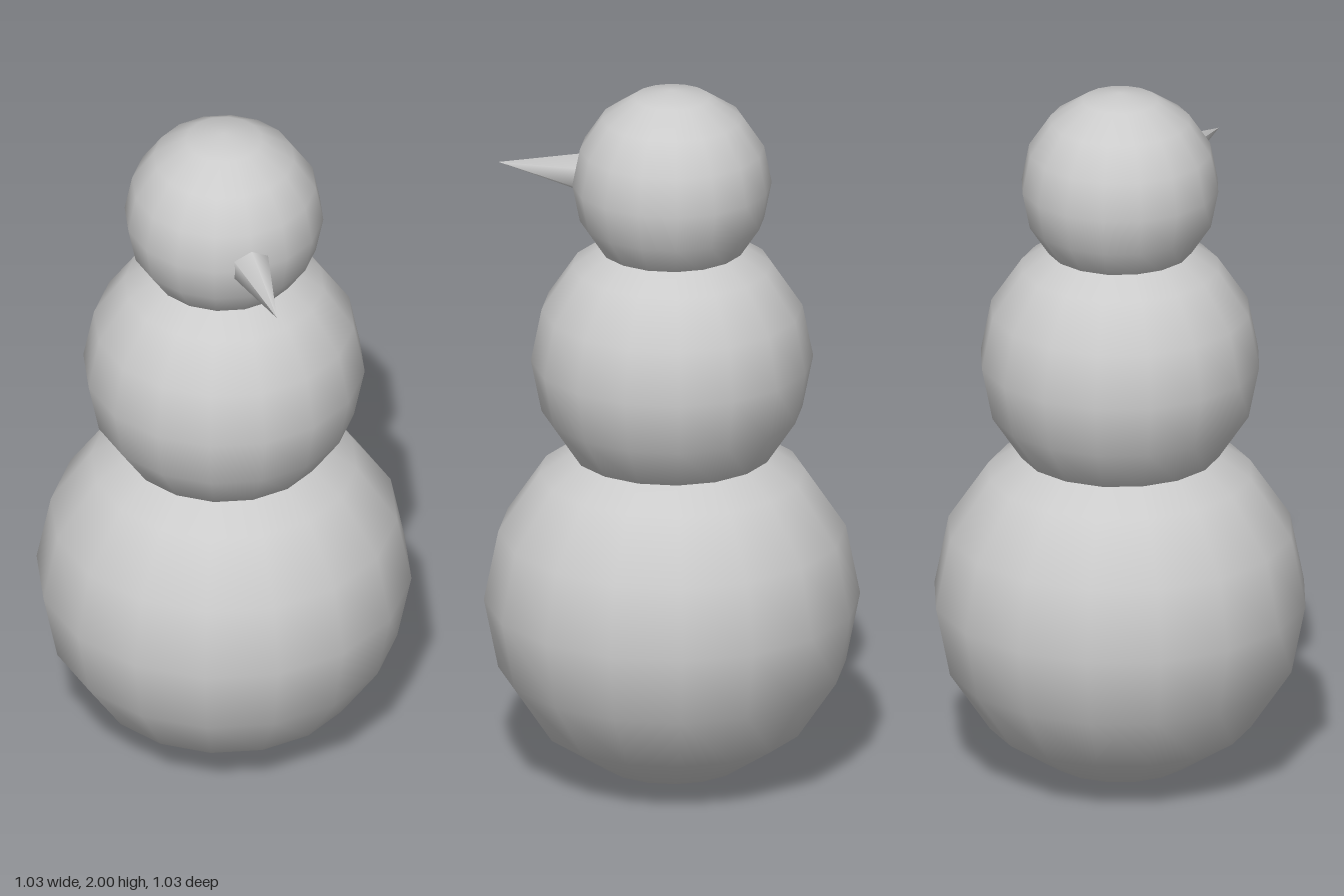
import * as THREE from 'three';

export function createModel() {
  const group = new THREE.Group();
  const material = new THREE.MeshStandardMaterial({ color: 0xcccccc });

  const add = (name, geometry, x, y, z) => {
    const mesh = new THREE.Mesh(geometry, material);
    mesh.name = name;
    mesh.position.set(x, y, z);
    group.add(mesh);
    return mesh;
  };

  // Three stacked snowballs: name, radius, centre height
  const balls = [
    ['baseBall', 0.517, 0.519],
    ['middleBall', 0.388, 1.216],
    ['head', 0.274, 1.726],
  ];
  for (const [name, radius, y] of balls) {
    add(name, new THREE.SphereGeometry(radius, 16, 8), 0, y, 0);
  }

  // Six-sided carrot nose, its base sunk slightly into the head
  const noseBase = 0.25;
  const noseTip = 0.505;
  const length = noseTip - noseBase;
  const nose = new THREE.ConeGeometry(0.058, length, 6).rotateX(Math.PI / 2);
  add('nose', nose, 0, 1.727, noseBase + length / 2);

  return group;
}
